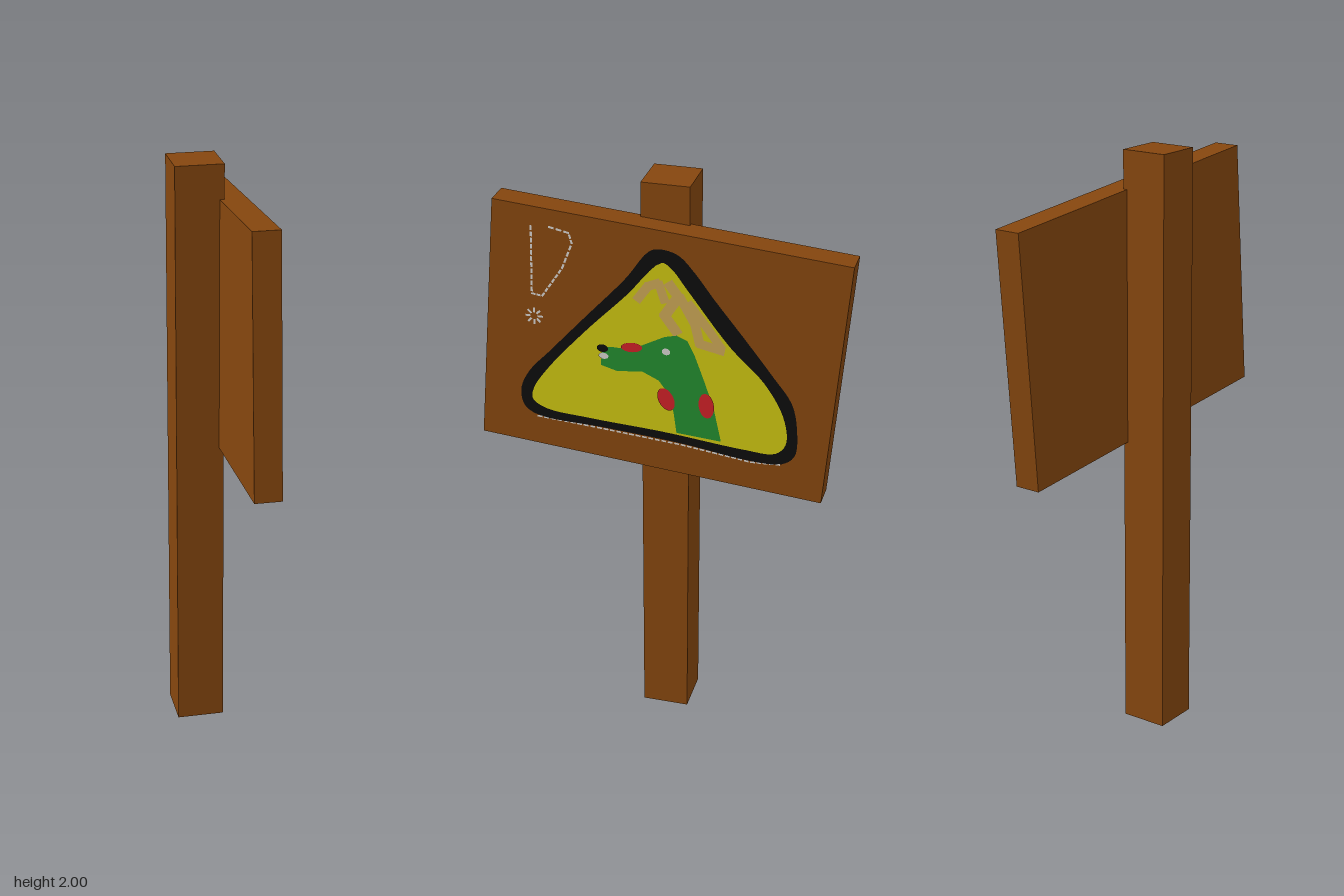
import * as THREE from 'three';
import { mergeGeometries } from 'three/addons/utils/BufferGeometryUtils.js';

const paint = (name, color) => {
  const m = new THREE.MeshStandardMaterial({ color });
  m.name = name;
  return m;
};

// Turns a flat list u, v, u, v... into points
const points = (list) => {
  const out = [];
  for (let i = 0; i < list.length; i += 2) out.push(new THREE.Vector2(list[i], list[i + 1]));
  return out;
};

// Flat painted patch, with straight or rounded outline
function patch(list, rounded = false) {
  let pts = points(list);
  if (rounded) {
    const curve = new THREE.CatmullRomCurve3(pts.map((p) => new THREE.Vector3(p.x, p.y, 0)), true);
    pts = curve.getPoints(90).slice(0, -1).map((p) => new THREE.Vector2(p.x, p.y));
  }
  return new THREE.ShapeGeometry(new THREE.Shape(pts));
}

// Flat painted ellipse
const spot = (u, v, ru, rv, turn = 0) =>
  new THREE.CircleGeometry(1, 16).scale(ru, rv, 1).rotateZ(turn).translate(u, v, 0);

// Brush stroke along a polyline
function stroke(list, width) {
  const pts = points(list);
  const parts = pts.slice(1).map((b, i) => {
    const a = pts[i];
    return new THREE.PlaneGeometry(a.distanceTo(b) + width * 0.5, width)
      .rotateZ(Math.atan2(b.y - a.y, b.x - a.x))
      .translate((a.x + b.x) / 2, (a.y + b.y) / 2, 0);
  });
  return mergeGeometries(parts);
}

// Broken chalk line: short dashes along a polyline
function chalk(list, width) {
  const pts = points(list);
  const dashes = [];
  for (let i = 1; i < pts.length; i++) {
    const n = Math.max(1, Math.round(pts[i].distanceTo(pts[i - 1]) / 0.022));
    for (let k = 0; k < n; k++) {
      const a = pts[i - 1].clone().lerp(pts[i], k / n);
      const b = pts[i - 1].clone().lerp(pts[i], (k + 0.6) / n);
      dashes.push(stroke([a.x, a.y, b.x, b.y], width));
    }
  }
  return mergeGeometries(dashes);
}

export function createModel() {
  const wood = paint('wood brown', 0x85460e);
  const black = paint('black', 0x0d0d0d);
  const yellow = paint('yellow', 0xcac310);
  const green = paint('green', 0x228b2e);
  const red = paint('red', 0xcc2026);
  const tan = paint('antler tan', 0xc8a455);
  const white = paint('chalk white', 0xd2d0cc);

  const model = new THREE.Group();
  model.name = 'signpost';
  const add = (parent, name, geometry, material) => {
    const mesh = new THREE.Mesh(geometry, material);
    mesh.name = name;
    parent.add(mesh);
    return mesh;
  };

  // Post
  add(model, 'post', new THREE.BoxGeometry(0.16, 2, 0.16).translate(-0.04, 1, 0), wood);

  // Sign faces +x with a slight twist
  const sign = new THREE.Group();
  sign.name = 'sign';
  sign.position.set(0.07, 1.45, 0);
  sign.rotation.y = Math.PI / 2 - 0.008;
  model.add(sign);

  // Tilted board
  add(sign, 'board', new THREE.BoxGeometry(1.169, 0.853, 0.09), wood).rotation.z = -0.082;

  // Painted layers, each just above the one before
  const art = new THREE.Group();
  art.name = 'painting';
  art.position.set(0, -1.45, 0.045);
  sign.add(art);
  const layer = (name, level, geometry, material) => {
    add(art, name, geometry, material).position.z = level * 0.0015;
  };

  layer('triangleBorder', 1, patch([
    -0.03, 1.805, 0.01, 1.815, 0.065, 1.80, 0.115, 1.75, 0.18, 1.665, 0.285, 1.535, 0.375, 1.42,
    0.44, 1.33, 0.46, 1.235, 0.455, 1.14, 0.415, 1.105, 0.31, 1.10, 0.075, 1.13, -0.19, 1.15,
    -0.42, 1.165, -0.465, 1.195, -0.475, 1.255, -0.445, 1.325, -0.37, 1.41, -0.245, 1.55, -0.11, 1.70,
  ], true), black);
  layer('triangleFill', 2, patch([
    0.01, 1.77, 0.04, 1.755, 0.095, 1.685, 0.235, 1.505, 0.35, 1.39, 0.415, 1.275, 0.425, 1.18,
    0.39, 1.14, 0.285, 1.14, 0.02, 1.165, -0.245, 1.18, -0.39, 1.195, -0.435, 1.225, -0.43, 1.265,
    -0.375, 1.35, -0.245, 1.50, -0.11, 1.64,
  ], true), yellow);

  // Antlers
  layer('antlers', 3, mergeGeometries([
    stroke([-0.07, 1.635, -0.035, 1.685, 0, 1.70, 0.02, 1.64], 0.03),
    stroke([0.035, 1.70, 0.065, 1.66, 0.02, 1.59, 0.06, 1.535], 0.035),
    stroke([0.07, 1.66, 0.12, 1.57, 0.135, 1.505, 0.21, 1.49], 0.032),
    stroke([0.10, 1.64, 0.17, 1.55, 0.205, 1.50], 0.03),
  ]), tan);

  // Animal head and neck
  layer('animalHead', 4, patch([
    -0.19, 1.45, -0.16, 1.455, -0.115, 1.455, -0.055, 1.475, 0.02, 1.515, 0.06, 1.525, 0.095, 1.51,
    0.12, 1.46, 0.155, 1.365, 0.185, 1.275, 0.21, 1.16, 0.06, 1.17, 0.05, 1.245, 0.03, 1.315,
    0, 1.355, -0.055, 1.38, -0.14, 1.37, -0.195, 1.385,
  ]), green);
  layer('redSpots', 5, mergeGeometries([
    spot(-0.09, 1.463, 0.036, 0.017, 0.1),
    spot(0.025, 1.29, 0.027, 0.042, 0.4),
    spot(0.16, 1.285, 0.026, 0.045, 0.1),
  ]), red);
  layer('nose', 5, spot(-0.188, 1.447, 0.019, 0.014), black);
  layer('eyeAndMuzzle', 5, mergeGeometries([
    spot(0.025, 1.463, 0.014, 0.012),
    spot(-0.185, 1.42, 0.017, 0.011),
  ]), white);

  // Chalk outlines in the board's upper corner and under the border
  const flecks = [
    chalk([-0.42, 1.845, -0.425, 1.61, -0.39, 1.605, -0.32, 1.71, -0.285, 1.80, -0.295, 1.835, -0.37, 1.85], 0.007),
    chalk([-0.42, 1.16, -0.19, 1.145, 0.075, 1.125, 0.31, 1.096, 0.415, 1.101], 0.006),
  ];
  for (let i = 0; i < 8; i++) {
    const c = Math.cos((i * Math.PI) / 4), s = Math.sin((i * Math.PI) / 4);
    flecks.push(stroke([-0.42 + c * 0.014, 1.53 + s * 0.014, -0.42 + c * 0.028, 1.53 + s * 0.028], 0.007));
  }
  layer('chalkFlecks', 1, mergeGeometries(flecks), white);

  return model;
}
